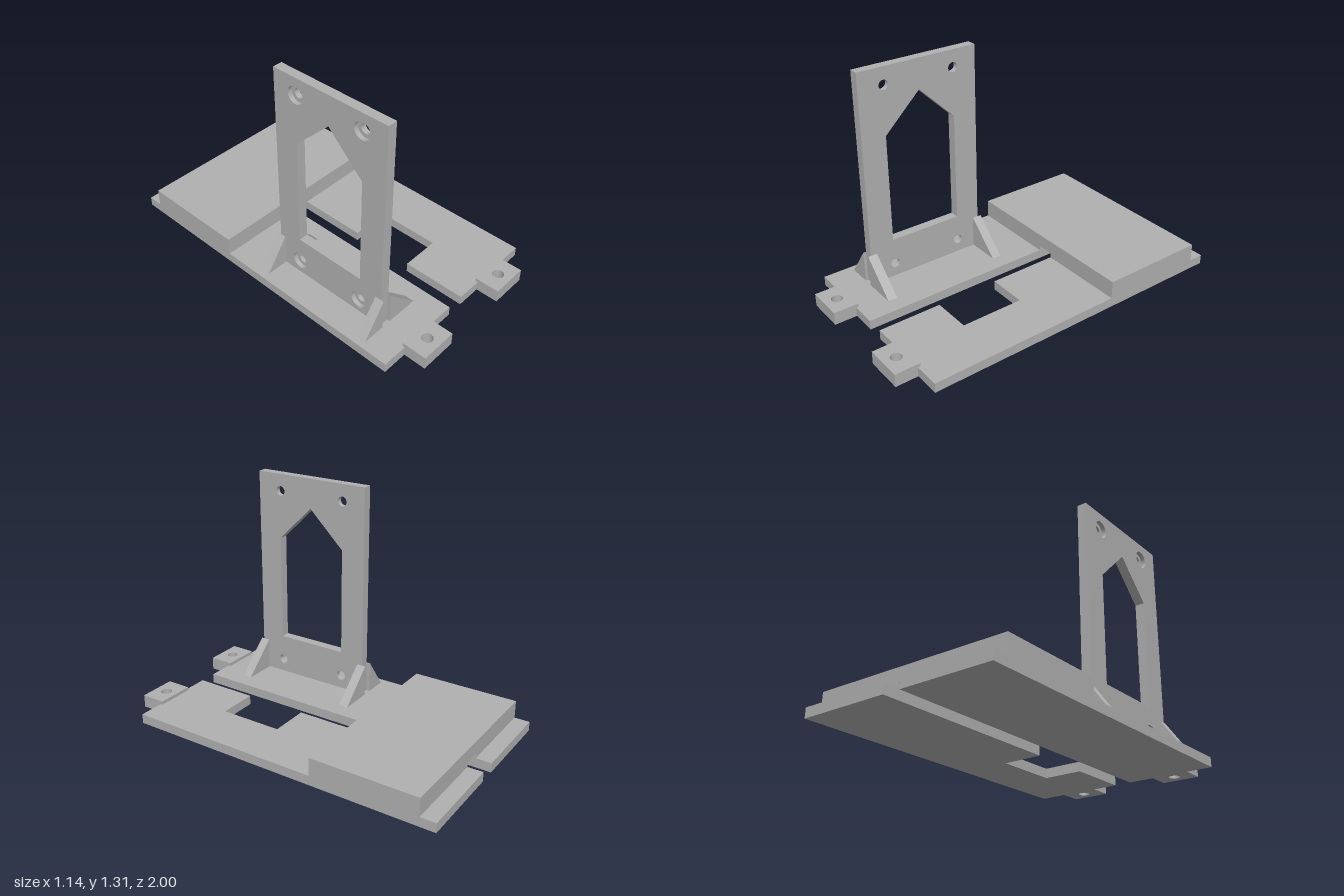
import * as THREE from 'three';

const grey = new THREE.MeshStandardMaterial({ color: 0xb0b0b0 });
grey.name = 'plain grey';

const polygon = (pts) => new THREE.Shape(pts.map(([a, b]) => new THREE.Vector2(a, b)));

function addHole(shape, a, b, r) {
  const hole = new THREE.Path();
  hole.absarc(a, b, r, 0, Math.PI * 2, true);
  shape.holes.push(hole);
}

const extrude = (shape, depth) =>
  new THREE.ExtrudeGeometry(shape, { depth, bevelEnabled: false, curveSegments: 16 });

// Outline in (x, z), occupying y0..y1
const flatPlate = (shape, y0, y1) => extrude(shape, y1 - y0).rotateX(Math.PI / 2).translate(0, y1, 0);

// Outline in (z, y), occupying x0..x1
const uprightPlate = (shape, x0, x1) => extrude(shape, x1 - x0).rotateY(-Math.PI / 2).translate(x1, 0, 0);

export function createModel() {
  const model = new THREE.Group();
  model.name = 'mountingBracket';
  const add = (name, geometry) => {
    const mesh = new THREE.Mesh(geometry, grey);
    mesh.name = name;
    model.add(mesh);
  };

  const W = 0.57, S = 0.05, T = 0.055;

  // Two base rails either side of the central slot, one with a notch
  add('rightBaseRail', flatPlate(polygon([[-W, -1], [-S, -1], [-S, 0.87], [-W, 0.87]]), 0, T));
  add('leftBaseRail', flatPlate(polygon([
    [S, -1], [W, -1], [W, 0.87], [S, 0.87],
    [S, 0.5], [0.28, 0.5], [0.28, 0.13], [S, 0.13],
  ]), 0, T));

  // Raised rear block bridging the slot
  add('rearBlock', extrude(polygon([
    [-W, T], [-S, T], [-S, 0.085], [S, 0.085], [S, T], [W, T], [W, 0.16], [-W, 0.16],
  ]), 0.63).translate(0, 0, -0.91));

  // Front screw tabs
  for (const [name, cx] of [['rightTab', -0.31], ['leftTab', 0.31]]) {
    const tab = polygon([[cx - 0.11, 0.855], [cx + 0.11, 0.855], [cx + 0.11, 1], [cx - 0.11, 1]]);
    addHole(tab, cx, 0.925, 0.032);
    add(name, flatPlate(tab, 0, 0.075));
  }

  // Upright panel in two layers: wider screw recesses on the outer (-x) side
  const panelLayer = (holeRadius) => {
    const panel = polygon([[-0.035, T], [0.685, T], [0.685, 1.31], [-0.035, 1.31]]);
    const opening = [[0.11, 0.29], [0.11, 0.925], [0.325, 1.135], [0.54, 0.925], [0.54, 0.29]];
    panel.holes.push(new THREE.Path(opening.map(([z, y]) => new THREE.Vector2(z, y))));
    for (const z of [0.11, 0.535]) for (const y of [0.135, 1.21]) addHole(panel, z, y, holeRadius);
    return panel;
  };
  add('panelOuterLayer', uprightPlate(panelLayer(0.05), -0.395, -0.37));
  add('panelInnerLayer', uprightPlate(panelLayer(0.028), -0.37, -0.34));

  // Triangular gussets on both faces of the panel
  for (const [end, z] of [['rear', -0.058], ['front', 0.647]]) {
    add(end + 'OuterGusset', extrude(polygon([[-0.53, T], [-0.395, T], [-0.395, 0.24]]), 0.055).translate(0, 0, z));
    add(end + 'InnerGusset', extrude(polygon([[-0.34, T], [-0.145, T], [-0.34, 0.24]]), 0.055).translate(0, 0, z));
  }

  return model;
}
